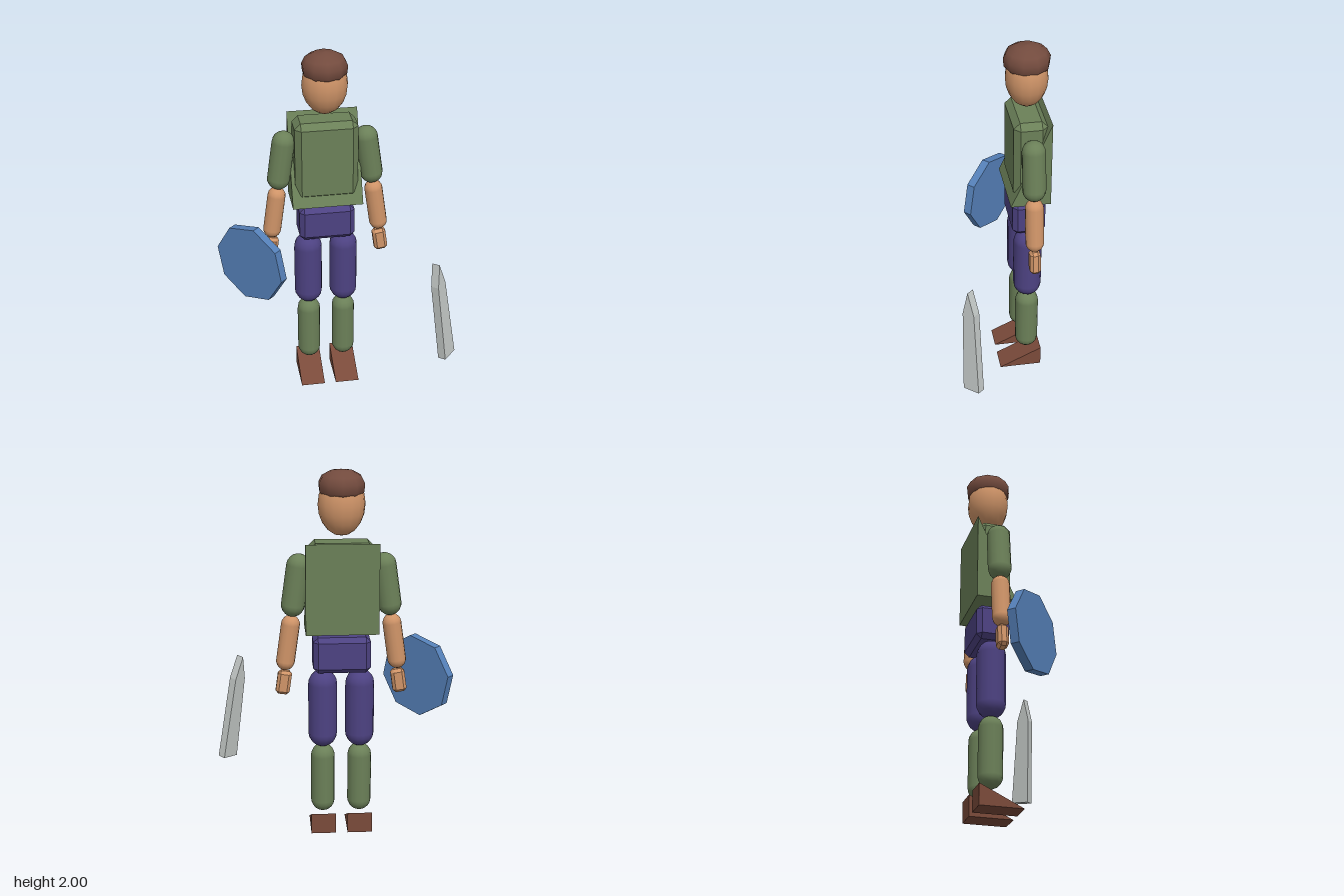
import * as THREE from 'three';
import { ConvexGeometry } from 'three/addons/geometries/ConvexGeometry.js';

const CX = -0.04, CZ = -0.16; // body axis
const GREEN = 0x6b8058, PANTS = 0x4d4282, SKIN = 0xcf9468, BROWN = 0x7a4a3a, HAIR = 0x734b3e;

// Box with all edges cut at 45 degrees
function chamferBox(w, h, d, c) {
  const pts = [];
  for (const sx of [-1, 1]) for (const sy of [-1, 1]) for (const sz of [-1, 1]) {
    const x = w / 2, y = h / 2, z = d / 2;
    pts.push(
      new THREE.Vector3(sx * x, sy * (y - c), sz * (z - c)),
      new THREE.Vector3(sx * (x - c), sy * y, sz * (z - c)),
      new THREE.Vector3(sx * (x - c), sy * (y - c), sz * z));
  }
  return new ConvexGeometry(pts);
}

// Ramp: base at y = 0, full height at the back, sloping down to the front
function wedge(w, h, d) {
  const s = new THREE.Shape([
    new THREE.Vector2(-d / 2, 0), new THREE.Vector2(d / 2, 0), new THREE.Vector2(-d / 2, h)]);
  const g = new THREE.ExtrudeGeometry(s, { depth: w, bevelEnabled: false });
  return g.translate(0, 0, -w / 2).rotateY(-Math.PI / 2);
}

// Capsule given by its total height
const capsule = (r, h) => new THREE.CapsuleGeometry(r, h - 2 * r, 5, 14);

export function createModel() {
  const model = new THREE.Group();
  const add = (name, geo, color, x, y, z, flat = false) => {
    const mesh = new THREE.Mesh(geo, new THREE.MeshStandardMaterial({ color, flatShading: flat }));
    mesh.name = name;
    mesh.position.set(x, y, z);
    model.add(mesh);
    return mesh;
  };

  // Head and cap of hair
  add('head', new THREE.SphereGeometry(1, 16, 10).scale(0.124, 0.165, 0.113), SKIN, CX, 1.82, CZ);
  const hair = [[0, 1.87], [0.105, 1.87], [0.12, 1.887], [0.124, 1.93], [0.105, 1.967], [0.06, 1.992], [0, 2]]
    .map(([r, y]) => new THREE.Vector2(r, y));
  add('hair', new THREE.LatheGeometry(hair, 10), HAIR, CX, 0, CZ);

  // Torso, the sloped tunic plate through it, and hips
  add('torso', chamferBox(0.345, 0.45, 0.18, 0.033), GREEN, CX, 1.4, CZ, true);
  add('tunicPlate', wedge(0.386, 0.485, 0.216), GREEN, CX, 1.145, -0.157, true);
  add('hips', chamferBox(0.306, 0.196, 0.18, 0.026), PANTS, CX, 1.023, CZ, true);

  // Limbs, mirrored about the body axis
  for (const [side, s] of [['left', 1], ['right', -1]]) {
    const arm = [
      ['UpperArm', capsule(0.063, 0.34), GREEN, 0.241, 1.393],
      ['Forearm', capsule(0.05, 0.305), SKIN, 0.284, 1.08],
      ['Hand', chamferBox(0.075, 0.13, 0.058, 0.016), SKIN, 0.309, 0.86],
    ];
    for (const [name, geo, color, dx, y] of arm)
      add(side + name, geo, color, CX + s * dx, y, CZ, name === 'Hand').rotation.z = s * 0.14;
    add(side + 'Thigh', capsule(0.078, 0.435), PANTS, CX + s * 0.1, 0.708, CZ);
    add(side + 'Shin', capsule(0.065, 0.39), GREEN, CX + s * 0.1, 0.305, CZ);
    add(side + 'Foot', wedge(0.135, 0.115, 0.236), BROWN, CX + s * 0.1, 0, -0.117, true);
  }

  // Eight-sided shield, turned outward
  const disc = new THREE.CylinderGeometry(0.226, 0.226, 0.048, 8)
    .rotateX(Math.PI / 2).rotateZ(-0.17).rotateY(-Math.PI / 4);
  add('shield', disc, 0x5580b8, -0.47, 0.845, -0.035, true);

  // Tapered blade with a chisel tip
  const outline = new THREE.Shape([[-0.05, 0], [0.05, 0], [0.036, 0.475], [0, 0.605], [-0.036, 0.475]]
    .map(([x, y]) => new THREE.Vector2(x, y)));
  const blade = new THREE.ExtrudeGeometry(outline, { depth: 0.047, bevelEnabled: false })
    .translate(0, 0, -0.0235).rotateY(Math.PI / 4).rotateZ(0.14);
  add('blade', blade, 0xc2c7c5, 0.589, 0.29, 0.225, true);

  return model;
}
